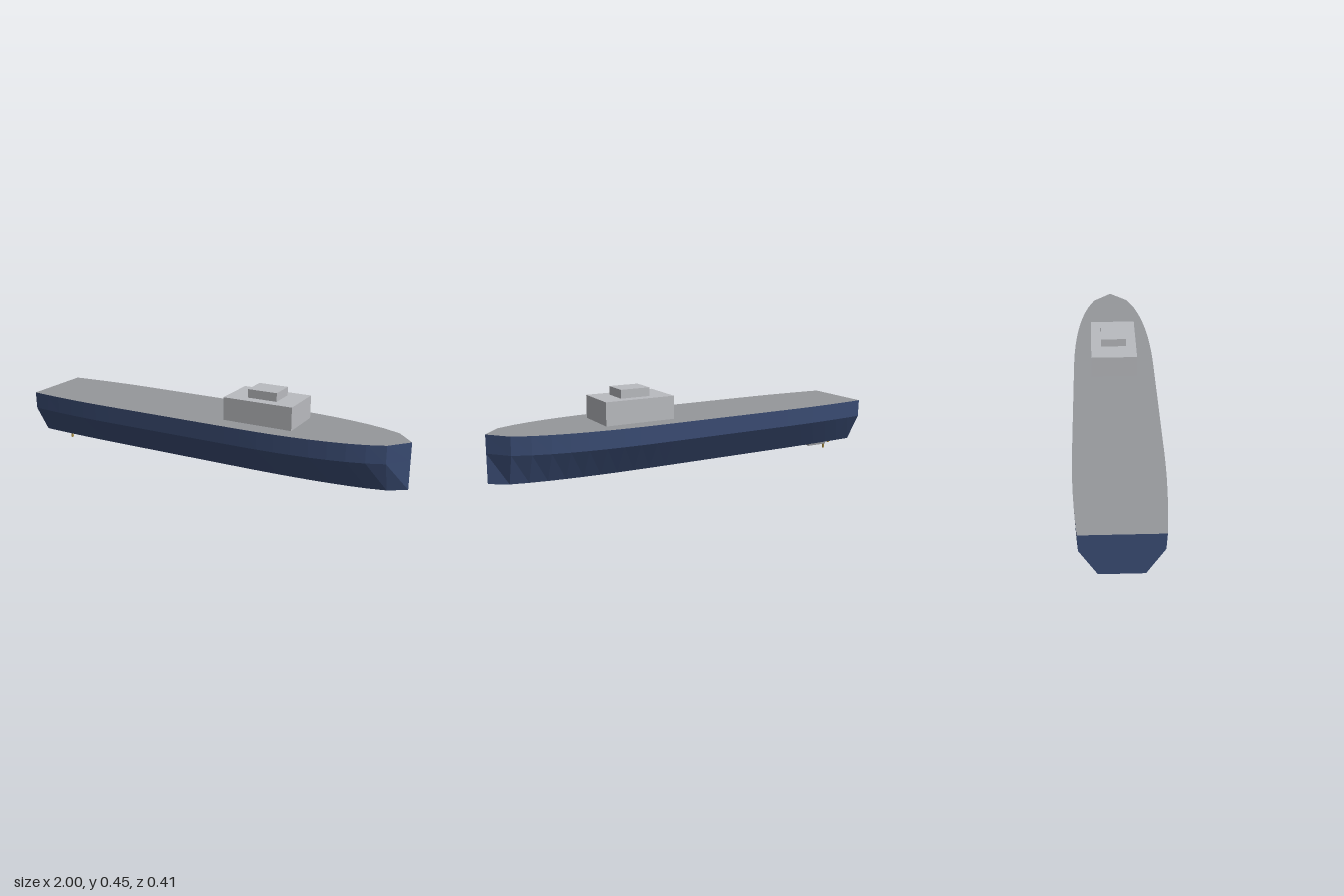
import * as THREE from 'three';

const mat = (name, color) => {
  const m = new THREE.MeshStandardMaterial({ color });
  m.name = name;
  return m;
};

// Half-width of the deck at a station: parallel middle, tapered stern, rounded bow
function halfWidth(x) {
  if (x < -0.5) return 0.206 - 0.026 * ((-0.5 - x) / 0.5) ** 2;
  if (x <= 0.2) return 0.206;
  const t = Math.min(1, (x - 0.2) / 0.8);
  return 0.206 * Math.sqrt(Math.max(0, 1 - t ** 2.25));
}

export function createModel() {
  const hullBlue = mat('hull navy', 0x3b4d75);
  const deckGrey = mat('deck grey', 0x95979b);
  const houseGrey = mat('superstructure light grey', 0xb9bbbf);
  const bronze = mat('propeller bronze', 0xb89a4c);

  const ship = new THREE.Group();
  ship.name = 'ship';

  function add(name, geometry, material, parent = ship) {
    const mesh = new THREE.Mesh(geometry, material);
    mesh.name = name;
    parent.add(mesh);
    return mesh;
  }

  // Box given by its centre line x range and y range, symmetric in z
  function addBox(name, x0, x1, y0, y1, halfZ, material, parent) {
    const geometry = new THREE.BoxGeometry(x1 - x0, y1 - y0, halfZ * 2);
    geometry.translate((x0 + x1) / 2, (y0 + y1) / 2, 0);
    return add(name, geometry, material, parent);
  }

  // Hull cross-sections: deck edge, chine and flat bottom on both sides
  const section = [[0.292, 1], [0.205, 0.985], [0.065, 0.55]];
  const stations = 24;
  const rings = [];
  for (let i = 0; i <= stations; i++) {
    const x = -1 + (2 * i) / stations;
    const w = halfWidth(x);
    const left = section.map(([y, k]) => [x, y, w * k]);
    const right = section.map(([y, k]) => [x, y, -w * k]).reverse();
    rings.push([...left, ...right]);
  }

  const hullPoints = [];
  const deckPoints = [];
  for (let i = 0; i < stations; i++) {
    for (let j = 0; j < 6; j++) {
      const k = (j + 1) % 6;
      const a = rings[i][j], b = rings[i][k];
      const c = rings[i + 1][k], d = rings[i + 1][j];
      const target = j === 5 ? deckPoints : hullPoints;
      target.push(...a, ...b, ...c);
      // Faces that close to a point at the stem need only one triangle
      if (i < stations - 1 || c[1] !== d[1]) target.push(...a, ...c, ...d);
    }
  }
  // Transom
  for (let j = 1; j < 5; j++) {
    hullPoints.push(...rings[0][0], ...rings[0][j + 1], ...rings[0][j]);
  }

  function faceted(points) {
    const geometry = new THREE.BufferGeometry();
    geometry.setAttribute('position', new THREE.Float32BufferAttribute(points, 3));
    geometry.computeVertexNormals();
    return geometry;
  }
  add('hull', faceted(hullPoints), hullBlue);
  add('deck', faceted(deckPoints), deckGrey);

  // Superstructure
  addBox('deckHouse', 0.115, 0.47, 0.292, 0.405, 0.115, houseGrey);
  addBox('bridge', 0.22, 0.37, 0.405, 0.447, 0.064, houseGrey);

  // Drive pod under the stern, with a four-bladed propeller behind it
  addBox('drivePod', -0.91, -0.795, 0.027, 0.067, 0.019, deckGrey);
  const propeller = new THREE.Group();
  propeller.name = 'propeller';
  propeller.position.set(-0.913, 0.046, 0);
  ship.add(propeller);
  for (let i = 0; i < 2; i++) {
    const blades = add('bladePair', new THREE.BoxGeometry(0.006, 0.092, 0.012), bronze, propeller);
    blades.rotation.x = (i * Math.PI) / 2;
  }

  return ship;
}
